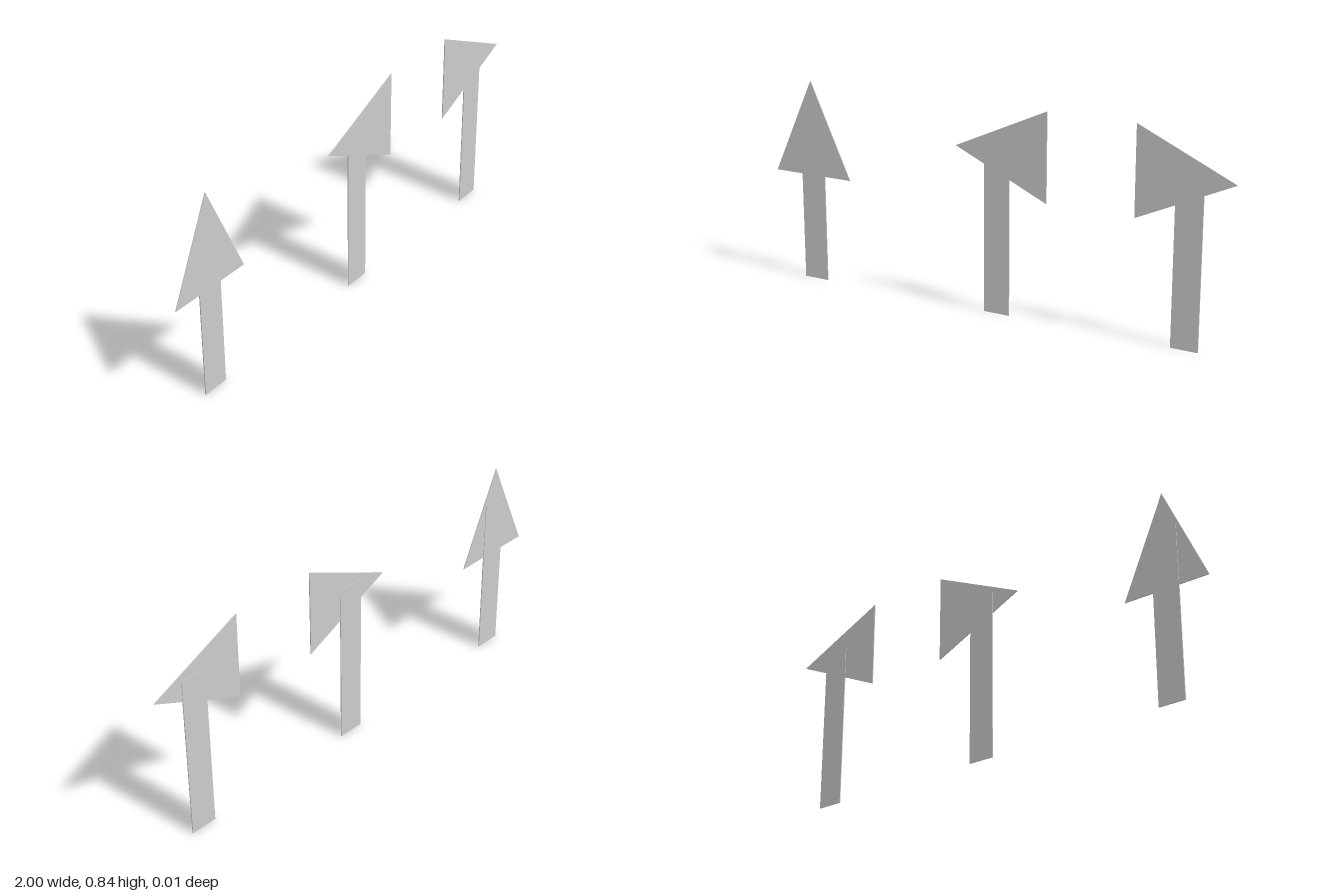
import * as THREE from 'three';

const material = new THREE.MeshStandardMaterial({ color: 0xcccccc, flatShading: true });
const THICK = 0.004; // sheet thickness
const HALF = 0.179; // half the width of a head
const LENGTH = 0.392; // head length, base to tip

// Thin triangular head, pointing up at angle 0, base centre at the origin
function makeHead(angle) {
  const shape = new THREE.Shape([
    new THREE.Vector2(-HALF, 0),
    new THREE.Vector2(HALF, 0),
    new THREE.Vector2(0, LENGTH),
  ]);
  const geometry = new THREE.ExtrudeGeometry(shape, { depth: THICK, bevelEnabled: false });
  const head = new THREE.Mesh(geometry, material);
  head.name = 'arrowHead';
  head.rotation.z = angle;
  return head;
}

// Flat post, standing on the ground just behind the head
function makeStem(x) {
  const height = 0.69;
  const stem = new THREE.Mesh(new THREE.BoxGeometry(0.11, height, THICK), material);
  stem.name = 'stem';
  stem.position.set(x, height / 2, -0.001);
  return stem;
}

export function createModel() {
  const model = new THREE.Group();
  model.name = 'arrowSigns';
  const signs = [
    { name: 'upArrow', stemX: -0.821, base: [-0.821, 0.445], angle: 0 },
    { name: 'rightPointingArrow', stemX: 0.03, base: [0.244, 0.658], angle: Math.PI / 2 },
    { name: 'leftPointingArrow', stemX: 0.818, base: [0.606, 0.658], angle: -Math.PI / 2 },
  ];
  for (const { name, stemX, base, angle } of signs) {
    const sign = new THREE.Group();
    sign.name = name;
    const head = makeHead(angle);
    head.position.set(base[0], base[1], -0.001);
    sign.add(makeStem(stemX), head);
    model.add(sign);
  }
  return model;
}
